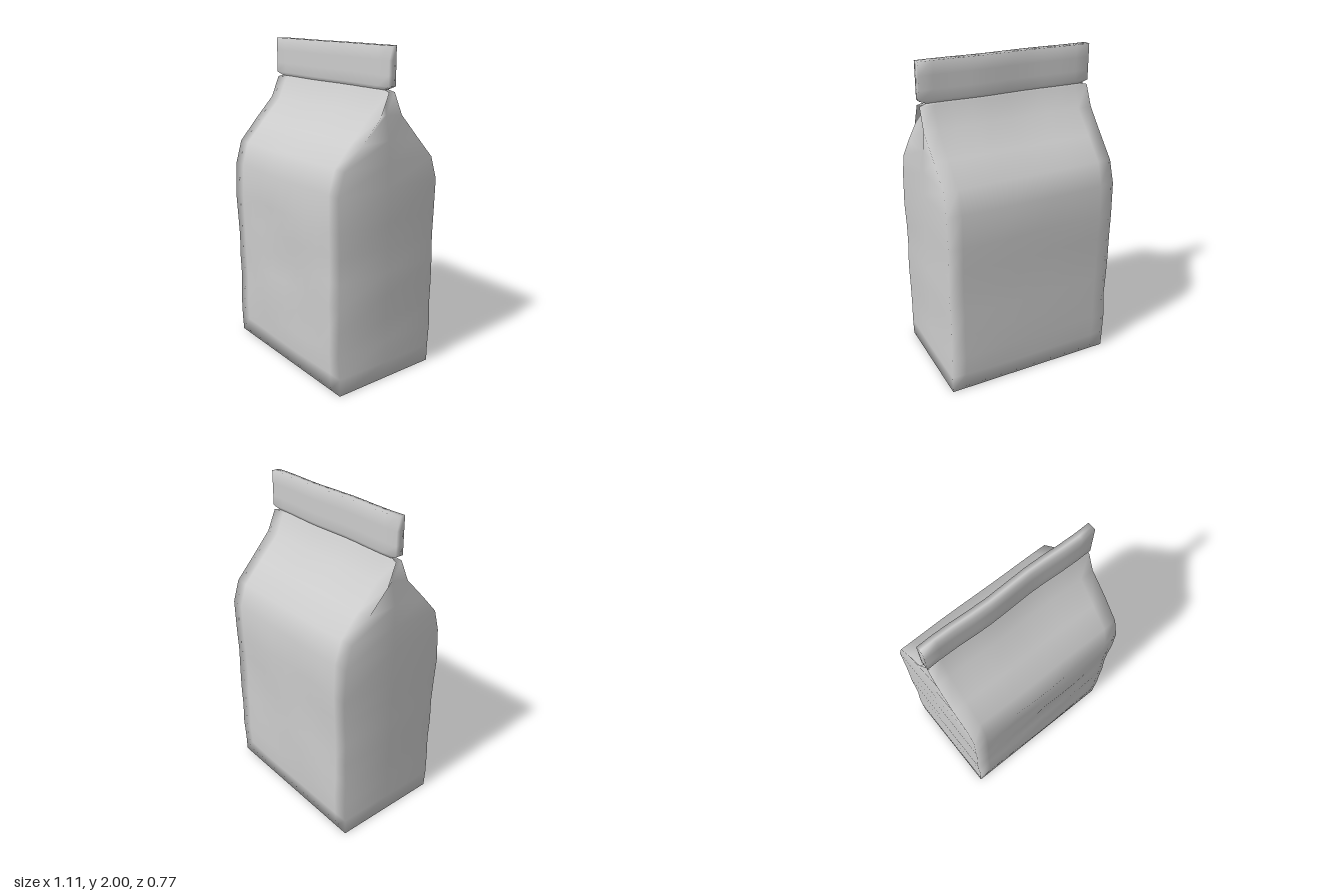
import * as THREE from 'three';
import { mergeVertices } from 'three/addons/utils/BufferGeometryUtils.js';

// x positions of the vertical edge loops, denser at the corners
const columns = [-0.55, -0.46, -0.35, -0.24, -0.13, 0, 0.13, 0.24, 0.35, 0.46, 0.55];

// Body rows: [height, half width, half depth, gusset fold depth]
const bodyRows = [
  [0, 0.55, 0.355, 0], [0.11, 0.55, 0.36, 0], [0.25, 0.55, 0.362, 0],
  [0.4, 0.55, 0.36, 0], [0.55, 0.55, 0.362, 0], [0.7, 0.55, 0.358, 0],
  [0.85, 0.55, 0.366, 0], [1.0, 0.55, 0.366, 0], [1.21, 0.55, 0.368, 0],
  [1.35, 0.55, 0.323, 0.005], [1.48, 0.55, 0.205, 0.015], [1.62, 0.55, 0.075, 0.045],
  [1.75, 0.55, 0.02, 0.06], [1.765, 0.49, 0.012, 0.01],
];

// Folded top strip, pinched in where it meets the body
const stripRows = [
  [1.755, 0.49, 0.012, 0], [1.78, 0.55, 0.026, 0], [1.84, 0.55, 0.026, 0],
  [1.92, 0.55, 0.026, 0], [2.0, 0.55, 0.026, 0],
];

// Gentle sideways wave of the pinched top
const wave = (x) => -0.005 * Math.cos((x - 0.15) * 10.8);

// Small creases in the filled part, fading out at base and shoulder
function crease(x, y, side) {
  const fade = Math.max(0, Math.min(1, y / 0.2, (1.5 - y) / 0.3));
  const bulge = 0.01 * (1 - (x / 0.55) ** 2);
  return fade * (bulge + 0.004 * Math.sin(9 * x + 7 * y * side) + 0.003 * Math.sin(17 * y - 6 * x));
}

// Shapes a segmented box by its rows, then welds it for soft normals
function paperPart(name, rows) {
  const nx = columns.length - 1, ny = rows.length - 1;
  const box = new THREE.BoxGeometry(1, 1, 1, nx, ny, 2);
  const p = box.attributes.position;
  for (let i = 0; i < p.count; i++) {
    const column = columns[Math.round((p.getX(i) + 0.5) * nx)];
    const [y, width, depth, fold] = rows[Math.round((p.getY(i) + 0.5) * ny)];
    const side = Math.round(p.getZ(i) * 2);
    let x = column * width / 0.55;
    const z = side * (depth + crease(x, y, side)) + wave(x) * THREE.MathUtils.smoothstep(y, 1.3, 1.75);
    if (Math.abs(column) === 0.55) {
      const ripple = y > 0 && y < 1.7 ? 0.003 * Math.sin(y * 13 + side) : 0;
      x += Math.sign(x) * (ripple - (side === 0 ? fold : 0));
    }
    p.setXYZ(i, x, y, z);
  }
  box.deleteAttribute('normal');
  box.deleteAttribute('uv');
  const geometry = mergeVertices(box, 1e-5);
  geometry.computeVertexNormals();
  const mesh = new THREE.Mesh(geometry, new THREE.MeshStandardMaterial({ color: 0xcccccc }));
  mesh.name = name;
  return mesh;
}

export function createModel() {
  const bag = new THREE.Group();
  bag.name = 'paperBag';
  bag.add(paperPart('bagBody', bodyRows), paperPart('foldedTop', stripRows));
  return bag;
}
